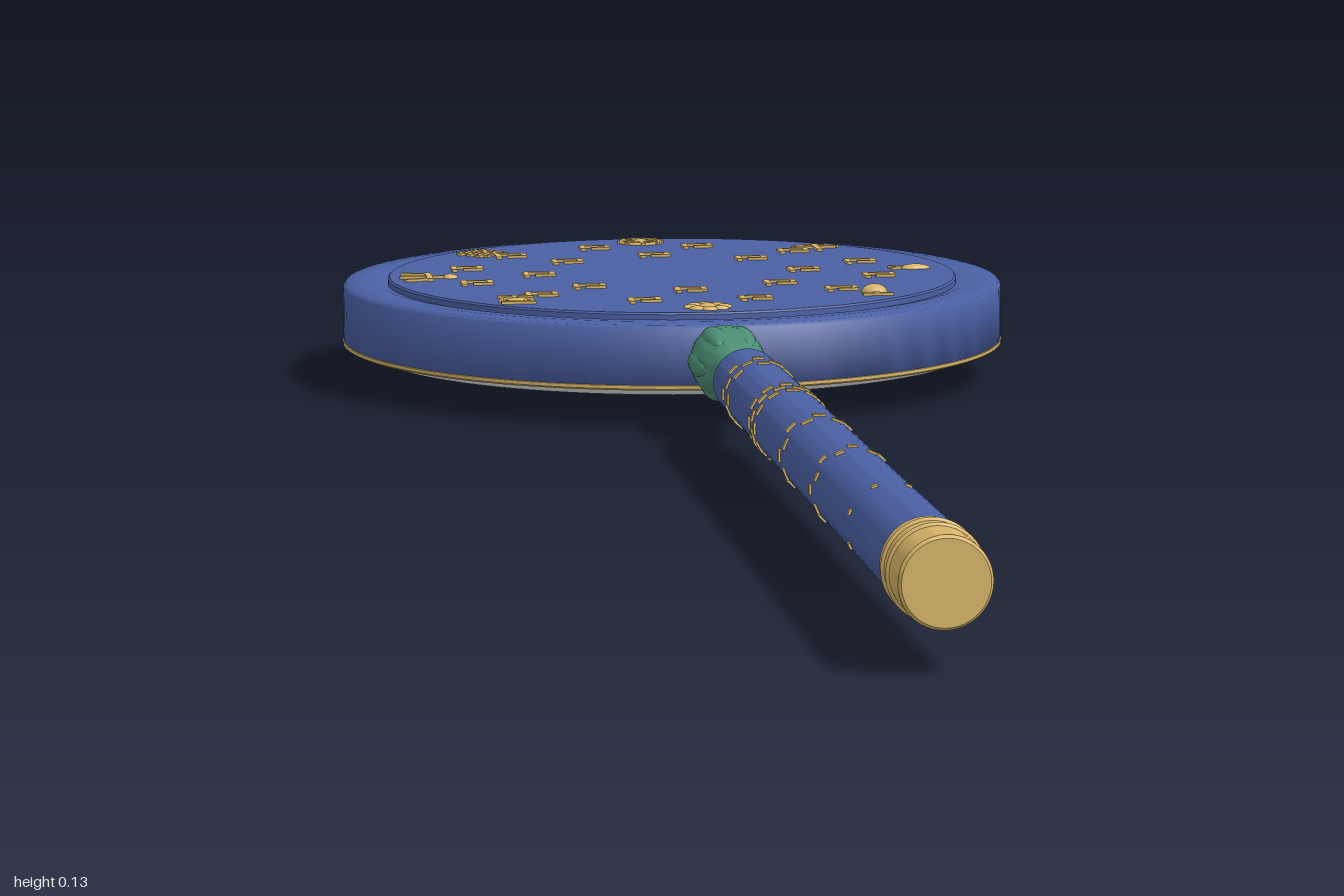
import * as THREE from 'three';
import { toCreasedNormals } from 'three/addons/utils/BufferGeometryUtils.js';

const CZ = -0.624, AXIS_Y = 0.078, FACE_Y = 0.117, WIRE = 0.0065;

export function createModel() {
  const root = new THREE.Group();
  root.name = 'handMirror';
  const mat = (name, color) => {
    const m = new THREE.MeshStandardMaterial({ color });
    m.name = name;
    return m;
  };
  const blue = mat('blue enamel', 0x4a60a4);
  const gold = mat('gold', 0xd8b468);
  const silver = mat('mirror silver', 0xe4e6e4);
  const jade = mat('jade', 0x4c8e74);
  const coral = mat('coral', 0xb9604f);

  const add = (parent, name, geo, m, x = 0, y = 0, z = 0) => {
    const mesh = new THREE.Mesh(geo, m);
    mesh.name = name;
    mesh.position.set(x, y, z);
    parent.add(mesh);
    return mesh;
  };
  const group = (name, x, y, z, parent) => {
    const g = new THREE.Group();
    g.name = name;
    g.position.set(x, y, z);
    parent.add(g);
    return g;
  };
  // Turned solid, profile given as [radius, height] from bottom to top
  const turned = (pts, seg, crease = 0.6) =>
    toCreasedNormals(new THREE.LatheGeometry(pts.map(p => new THREE.Vector2(p[0], p[1])), seg), crease);

  // Mirror head
  const head = group('mirrorHead', 0, 0, CZ, root);
  add(head, 'frame', turned([[0.37, 0.043], [0.376, 0.046], [0.376, 0.107], [0.373, 0.1105], [0.355, 0.112],
    [0.335, 0.111], [0.328, 0.109], [0, 0.109]], 96, 1.8), blue);
  add(head, 'backPanel', turned([[0.325, 0.106], [0.325, 0.115], [0.323, FACE_Y], [0, FACE_Y]], 96), blue);
  add(head, 'goldRim', turned([[0.352, 0.04], [0.374, 0.04], [0.377, 0.042], [0.377, 0.0455], [0.37, 0.047]], 96), gold);
  const dome = [];
  for (let i = 0; i <= 12; i++) {
    const r = 0.345 * i / 12;
    dome.push([r, 0.031 * (r / 0.345) ** 2]);
  }
  dome.push([0.357, 0.037], [0.359, 0.042]);
  add(head, 'mirrorGlass', turned(dome, 96, 0.9), silver);

  // Flat gold bar on the back panel: centre, size and turn
  const bar = (g, x, z, w, d, turn = 0) => {
    add(g, 'goldWire', new THREE.BoxGeometry(w, 0.005, d), gold, x, 0.0005, z).rotation.y = turn;
  };
  const ringWire = (g, r, x = 0, z = 0) => {
    const geo = new THREE.TorusGeometry(r, 0.0035, 6, 24);
    geo.rotateX(Math.PI / 2);
    add(g, 'goldLoop', geo, gold, x, 0, z);
  };
  const bead = (g, r, x = 0, z = 0, h = 0.5, d = 1) => {
    add(g, 'goldBead', new THREE.SphereGeometry(r, 16, 10), gold, x, 0, z).scale.set(1, h, d);
  };

  // Hooked meander motifs in two rings
  const hooks = (count, radius, start) => {
    for (let i = 0; i < count; i++) {
      const a = start + i * Math.PI * 2 / count;
      const g = group('meander', radius * Math.sin(a), FACE_Y, -radius * Math.cos(a), head);
      bar(g, 0, -0.013, 0.036, WIRE);
      bar(g, 0.015, -0.005, WIRE, 0.022);
      bar(g, 0.006, 0.004, 0.022, WIRE);
      bar(g, -0.015, 0, WIRE, 0.03);
    }
  };
  hooks(8, 0.153, 0);
  hooks(12, 0.238, Math.PI / 12);

  // Eight emblems around the edge of the panel
  const flower = g => {
    for (let i = 0; i < 8; i++) {
      const a = i * Math.PI / 4;
      bead(g, 0.009, 0.018 * Math.cos(a), 0.018 * Math.sin(a), 0.4);
    }
    bead(g, 0.01);
  };
  const wheel = g => {
    ringWire(g, 0.023);
    for (let i = 0; i < 4; i++) bar(g, 0, 0, 0.056, 0.005, i * Math.PI / 4);
    bead(g, 0.01);
  };
  const trident = g => {
    bar(g, 0, 0, 0.06, WIRE);
    bar(g, 0.004, 0, WIRE, 0.054);
    for (const s of [-1, 1]) bar(g, -0.01, s * 0.023, 0.032, WIRE, s * 0.3);
    bead(g, 0.009, 0.028);
  };
  const knot = g => {
    for (const s of [-1, 1]) {
      for (let i = -1; i <= 1; i++) bar(g, s * i * 0.01, i * 0.01, 0.048, 0.006, s * Math.PI / 4);
    }
  };
  const parasol = g => {
    bar(g, 0, 0.006, WIRE, 0.05);
    for (const s of [-1, 1]) bar(g, s * 0.012, -0.01, 0.034, WIRE, -s * 0.5);
    bar(g, 0, 0, 0.048, WIRE);
  };
  const fish = g => {
    bead(g, 0.018, 0, 0, 0.3, 0.5);
    for (const s of [-1, 1]) bar(g, -0.022, s * 0.004, 0.018, 0.005, s * 0.6);
  };
  const pearl = g => {
    bead(g, 0.015, 0, -0.006, 0.66);
    bar(g, 0, 0.018, 0.034, WIRE);
    bar(g, 0, 0.01, WIRE, 0.018);
  };
  const vase = g => {
    ringWire(g, 0.017, 0, 0.006);
    bead(g, 0.014, 0, 0.006, 0.3);
    bar(g, 0, -0.014, WIRE, 0.02);
    bar(g, 0, -0.022, 0.038, WIRE);
    bar(g, 0, 0.025, 0.038, WIRE);
  };
  [wheel, parasol, fish, pearl, flower, vase, trident, knot].forEach((build, i) => {
    const a = i * Math.PI / 4;
    build(group('emblem', 0.283 * Math.sin(a), FACE_Y, -0.283 * Math.cos(a), head));
  });

  // Handle parts share one axis along z
  const handle = group('handle', 0, AXIS_Y, 0, root);
  const along = (name, pts, m) => {
    const geo = turned(pts, 48);
    geo.rotateX(Math.PI / 2);
    add(handle, name, geo, m);
  };
  const radiusAt = z => 0.035 + 0.004 * (z + 0.06) / 0.98;
  along('grip', [[0, -0.06], [0.035, -0.06], [0.039, 0.92], [0, 0.92]], blue);

  // Gold end cap with raised bands
  along('endCap', [[0, 0.915], [0.0395, 0.915], [0.0395, 0.997], [0.037, 1], [0, 1]], gold);
  for (const z of [0.932, 0.955]) {
    add(handle, 'capBand', new THREE.TorusGeometry(0.0385, 0.0035, 8, 48), gold, 0, 0, z);
  }

  // Short gold plates set round the grip in broken bands
  const dashBand = (z, count, length, offset) => {
    for (let i = 0; i < count; i++) {
      const geo = new THREE.BoxGeometry(length, 0.004, 0.006);
      geo.translate(0, radiusAt(z), 0);
      add(handle, 'gripDash', geo, gold, 0, 0, z).rotation.z = (i + offset) * Math.PI * 2 / count;
    }
  };
  for (const [z, offset] of [[0.015, 0], [0.032, 0.5], [0.049, 0]]) dashBand(z, 8, 0.012, offset);
  for (const [z, offset] of [[0.19, 0], [0.209, 0.5], [0.228, 0]]) dashBand(z, 12, 0.012, offset);
  for (const [z, offset] of [[0.383, 0], [0.402, 0.5]]) dashBand(z, 8, 0.012, offset);
  for (const [z, offset] of [[0.562, 0], [0.58, 0.5]]) dashBand(z, 8, 0.009, offset);
  dashBand(0.755, 8, 0.006, 0.5);

  // Coral bead and its pin
  add(handle, 'coralBead', new THREE.SphereGeometry(0.026, 32, 20), coral, 0, 0, -0.085);
  along('coralPin', [[0.012, -0.13], [0.012, -0.055]], coral);

  // Carved jade bud joining the head
  along('jadeBud', [[0, -0.265], [0.024, -0.262], [0.033, -0.24], [0.038, -0.21], [0.039, -0.185], [0.036, -0.155],
    [0.028, -0.13], [0.018, -0.113], [0, -0.108]], jade);
  for (let i = 0; i < 6; i++) {
    const a = i * Math.PI / 3;
    const petal = add(handle, 'jadePetal', new THREE.SphereGeometry(1, 16, 12), jade,
      0.028 * Math.cos(a), 0.028 * Math.sin(a), -0.188);
    petal.scale.set(0.014, 0.014, 0.05);
  }
  return root;
}
